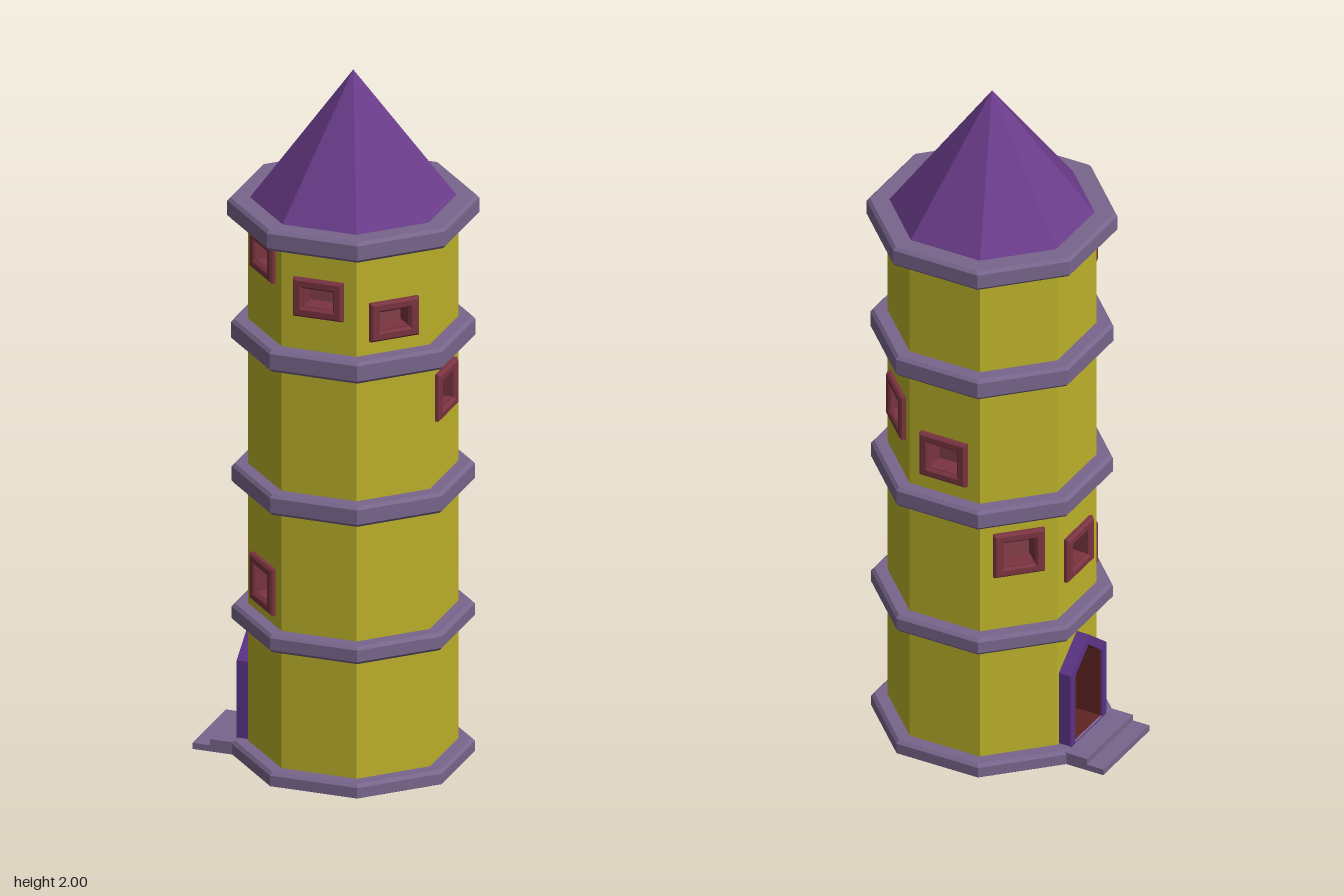
import * as THREE from 'three';

const R = 0.285;                                  // wall corner radius
const APOTHEM = R * Math.cos(Math.PI / 8);
const HALF = R * Math.sin(Math.PI / 8);           // half width of one wall side

const mat = (color, extra = {}) => new THREE.MeshStandardMaterial({ color, flatShading: true, ...extra });

function add(parent, name, geometry, material, x = 0, y = 0, z = 0) {
  const mesh = new THREE.Mesh(geometry, material);
  mesh.name = name;
  mesh.position.set(x, y, z);
  parent.add(mesh);
  return mesh;
}

// Closed outline from corner pairs
const outline = (pts, Type = THREE.Shape) => new Type(pts.map(([x, y]) => new THREE.Vector2(x, y)));
const rect = (w, y0, y1) => [[-w, y0], [w, y0], [w, y1], [-w, y1]];
const arch = (w, y0, y1, top) => [[-w, y0], [w, y0], [w, y1], [0, top], [-w, y1]];

// Outline with a hole, extruded outwards from z0 to z1
function frame(outer, inner, z0, z1, bevel = 0) {
  const shape = outline(outer);
  shape.holes.push(outline(inner, THREE.Path));
  const geo = new THREE.ExtrudeGeometry(shape, {
    depth: z1 - z0 - 2 * bevel, bevelEnabled: bevel > 0,
    bevelSize: bevel, bevelThickness: bevel, bevelSegments: 1,
  });
  return geo.translate(0, 0, z0 + bevel);
}

export function createModel() {
  const model = new THREE.Group();
  model.name = 'tower';
  const tower = new THREE.Group();
  tower.name = 'octagonalTower';
  tower.position.z = 0.045;
  model.add(tower);

  const yellow = mat(0xbcb12a), stone = mat(0x78668c), purple = mat(0x6a3c8a);
  const red = mat(0x7a3440), pane = mat(0x84404a), doorRed = mat(0x602422), trim = mat(0x5c3488);

  // Window height on each wall side, counted from the front side on the left: [centre, half height]
  const windows = [
    [[1.103, 0.068]], [[1.035, 0.068]], [[0.965, 0.068]], [[0.68, 0.068]],
    [[0.61, 0.068]], [[0.54, 0.068], [1.5, 0.056]], [[1.43, 0.056]], [[1.37, 0.056]],
  ];
  const DOOR = 4;

  for (let i = 0; i < 8; i++) {
    const side = new THREE.Group();
    side.name = 'towerSide';
    side.rotation.y = Math.PI / 8 + i * Math.PI / 4;
    tower.add(side);

    // Wall panel with openings
    const wall = outline(rect(HALF, 0, 1.6));
    for (const [y, h] of windows[i]) {
      wall.holes.push(outline(rect(0.055, y - h + 0.018, y + h - 0.018), THREE.Path));
    }
    if (i === DOOR) wall.holes.push(outline(arch(0.08, 0.03, 0.25, 0.318), THREE.Path));
    add(side, 'wall', new THREE.ShapeGeometry(wall), yellow, 0, 0, APOTHEM);

    // Recessed windows: raised frame, deep lining, pane
    for (const [y, h] of windows[i]) {
      const win = new THREE.Group();
      win.name = 'window';
      win.position.set(0, y, APOTHEM);
      side.add(win);
      add(win, 'windowFrame', frame(rect(0.066, -h + 0.006, h - 0.006), rect(0.05, -h + 0.022, h - 0.022), -0.01, 0.016, 0.006), red);
      add(win, 'windowLining', frame(rect(0.058, -h + 0.014, h - 0.014), rect(0.043, -h + 0.03, h - 0.03), -0.05, 0.006), red);
      add(win, 'windowPane', new THREE.PlaneGeometry(0.1, 2 * h - 0.04), pane, 0, 0, -0.048);
    }

    // Pointed doorway with steps
    if (i === DOOR) {
      const door = new THREE.Group();
      door.name = 'doorway';
      door.position.z = APOTHEM;
      side.add(door);
      add(door, 'doorFrame', frame(arch(0.1, 0.03, 0.265, 0.345), arch(0.077, 0.038, 0.25, 0.314), -0.005, 0.037), trim);
      add(door, 'doorLining', frame(arch(0.083, 0.03, 0.253, 0.322), arch(0.076, 0.041, 0.249, 0.312), -0.045, 0.03), doorRed);
      add(door, 'doorPanel', new THREE.ShapeGeometry(outline(arch(0.08, 0.03, 0.25, 0.318))), doorRed, 0, 0, -0.043);
      [[0.366, 0.036], [0.417, 0.018]].forEach(([reach, h]) =>
        add(side, 'step', new THREE.BoxGeometry(0.256, h, reach - 0.27), stone, 0, h / 2, (reach + 0.27) / 2));
    }
  }

  // Chamfered stone bands: bottom, top, radius, inner radius
  [[0, 0.04, 0.33, 0], [0.39, 0.442, 0.33, 0.25], [0.792, 0.852, 0.33, 0.25],
    [1.212, 1.275, 0.332, 0.25], [1.57, 1.63, 0.342, 0.25]].forEach(([y0, y1, r, inner]) => {
    const b = 0.009;
    const low = y0 === 0 ? 0.001 : b;
    const profile = [[inner, y0], [r - low, y0], [r, y0 + low], [r, y1 - b], [r - b, y1], [0.25, y1]]
      .map(([x, y]) => new THREE.Vector2(x, y));
    add(tower, 'stoneBand', new THREE.LatheGeometry(profile, 8), stone);
  });

  // Pointed roof
  add(tower, 'roof', new THREE.ConeGeometry(0.28, 0.37, 8, 1, true), purple, 0, 1.815, 0);

  return model;
}
